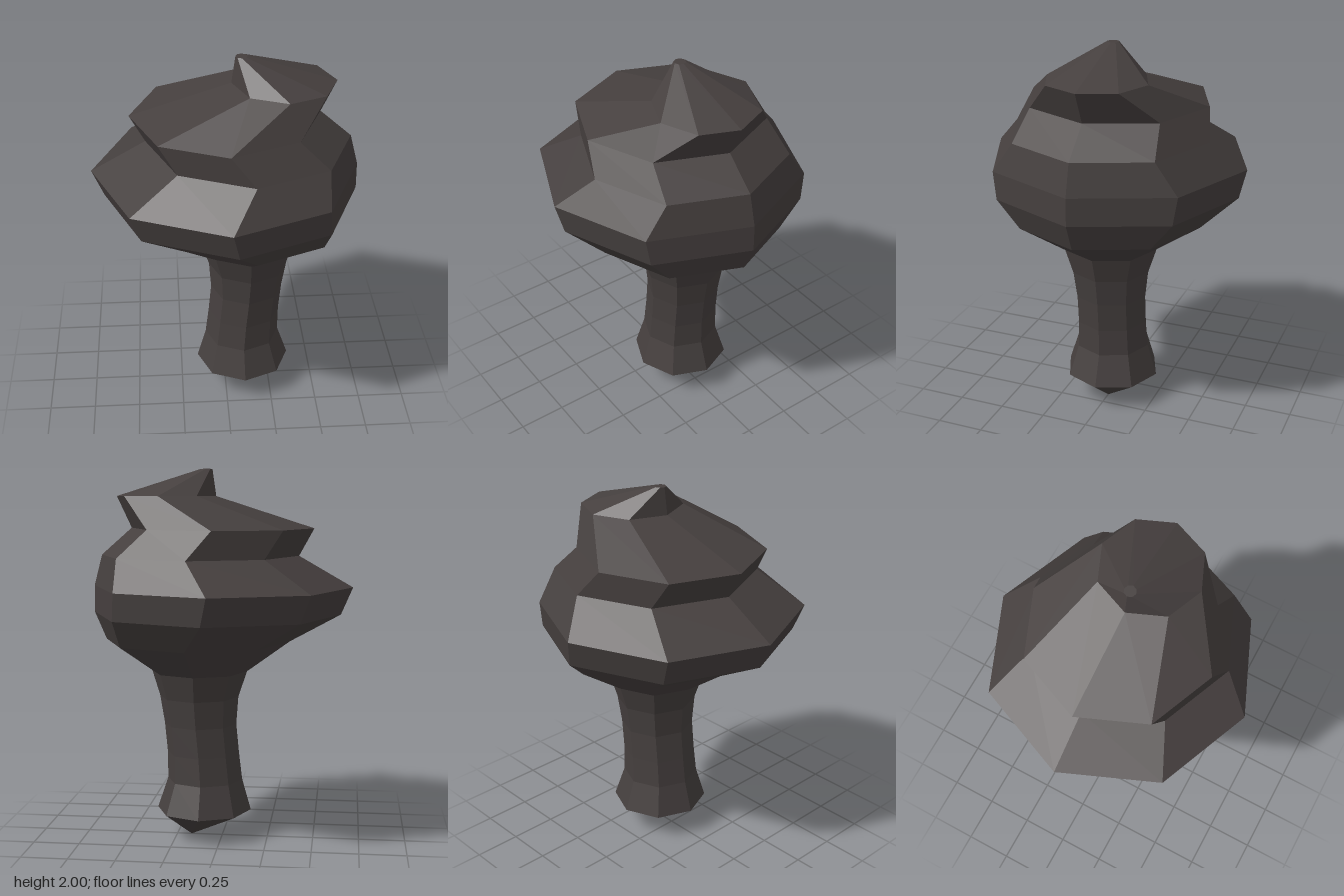
import * as THREE from 'three';

const SIDES = 8;

// Skins a stack of octagonal rings, each given as [height, centre x, radius].
// A zero radius closes the stack to a point.
function loft(rings, material, name) {
  const points = [];
  const corner = ([y, x, r], i) => {
    const a = ((i % SIDES) / SIDES) * Math.PI * 2;
    return [x + r * Math.cos(a), y, r * Math.sin(a)];
  };
  for (let k = 0; k < rings.length - 1; k++) {
    const low = rings[k], high = rings[k + 1];
    for (let i = 0; i < SIDES; i++) {
      const a = corner(low, i), b = corner(low, i + 1);
      const c = corner(high, i), d = corner(high, i + 1);
      if (high[2] > 0) points.push(...a, ...c, ...d);
      if (low[2] > 0) points.push(...a, ...d, ...b);
    }
  }
  const geometry = new THREE.BufferGeometry();
  geometry.setAttribute('position', new THREE.Float32BufferAttribute(points, 3));
  geometry.computeVertexNormals();
  const mesh = new THREE.Mesh(geometry, material);
  mesh.name = name;
  return mesh;
}

export function createModel() {
  const group = new THREE.Group();
  group.name = 'twistedMushroom';

  const charcoal = new THREE.MeshStandardMaterial({ color: 0x453f3e, flatShading: true });
  charcoal.name = 'charcoal brown';

  // Stem: pointed foot, narrow waist, flaring under the crown
  const stem = [
    [0, 0.17, 0],
    [0.15, 0.1, 0.258],
    [0.32, 0.095, 0.205],
    [0.47, 0.105, 0.197],
    [0.63, 0.12, 0.197],
    [0.78, 0.127, 0.215],
    [0.92, 0.125, 0.26],
  ];

  // Crown: wide bulb with rings shifted sideways, ending in a small flat tip
  const crown = [
    [0.92, 0.125, 0.26],
    [1.087, 0.135, 0.5],
    [1.235, 0.032, 0.667],
    [1.38, 0, 0.697],
    [1.545, 0.122, 0.532],
    [1.69, 0, 0.489],
    [1.858, 0.3, 0.268],
    [2, 0.083, 0.031],
    [2, 0.083, 0],
  ];

  group.add(loft(stem, charcoal, 'stem'), loft(crown, charcoal, 'crown'));
  return group;
}
